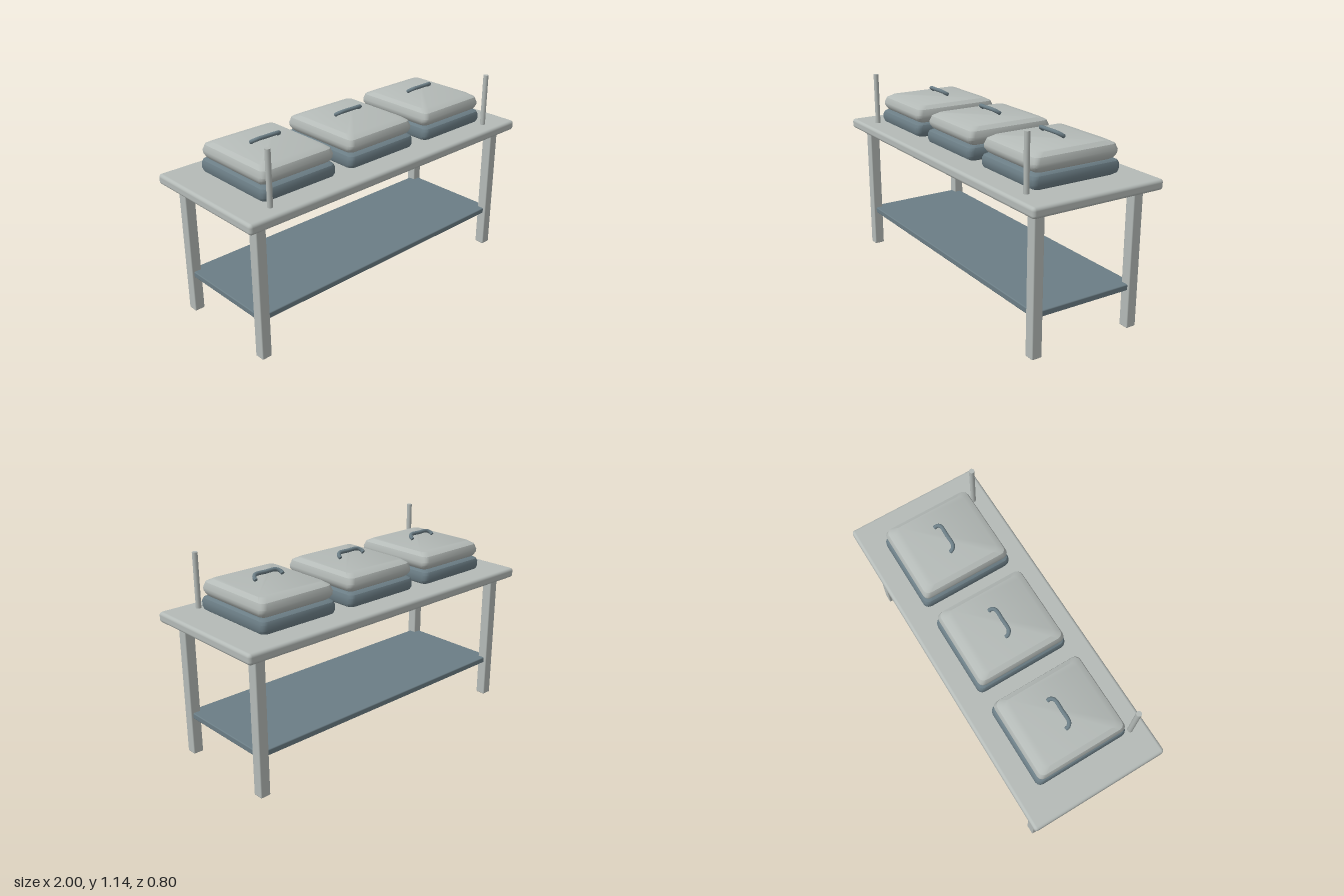
import * as THREE from 'three';
import { toCreasedNormals } from 'three/addons/utils/BufferGeometryUtils.js';
import { RoundedBoxGeometry } from 'three/addons/geometries/RoundedBoxGeometry.js';

const steel = new THREE.MeshStandardMaterial({ color: 0xb4bab7 });
const darkSteel = new THREE.MeshStandardMaterial({ color: 0x6b7d85 });

function add(parent, name, geometry, material, x = 0, y = 0, z = 0) {
  const mesh = new THREE.Mesh(geometry, material);
  mesh.name = name;
  mesh.position.set(x, y, z);
  parent.add(mesh);
  return mesh;
}

// Rounded rectangle lofted through levels of [height, inset]
function loftedBox(halfX, halfZ, radius, levels) {
  const steps = 3;
  const count = 4 * (steps + 1);
  const pos = [];
  const index = [];
  for (const [y, inset] of levels) {
    for (let c = 0; c < 4; c++) {
      const sx = c === 0 || c === 3 ? 1 : -1;
      const sz = c < 2 ? -1 : 1;
      for (let s = 0; s <= steps; s++) {
        const a = (c + s / steps) * Math.PI / 2;
        pos.push(
          sx * (halfX - inset * 0.75 - radius) + radius * Math.cos(a),
          y,
          sz * (halfZ - inset - radius) - radius * Math.sin(a),
        );
      }
    }
  }
  for (let k = 0; k < levels.length - 1; k++) {
    for (let i = 0; i < count; i++) {
      const a = k * count + i;
      const b = k * count + (i + 1) % count;
      index.push(a, b, b + count, a, b + count, a + count);
    }
  }
  // End caps
  const last = (levels.length - 1) * count;
  for (let i = 1; i < count - 1; i++) {
    index.push(0, i + 1, i);
    index.push(last, last + i, last + i + 1);
  }
  const geometry = new THREE.BufferGeometry();
  geometry.setAttribute('position', new THREE.Float32BufferAttribute(pos, 3));
  geometry.setIndex(index);
  return toCreasedNormals(geometry, 0.6);
}

// Food pan with a domed lid and a tilted handle
function createPan(x) {
  const pan = new THREE.Group();
  pan.name = 'servingPan';
  pan.position.x = x;

  add(pan, 'panBase', loftedBox(0.24, 0.273, 0.03, [
    [0.833, 0.025], [0.843, 0.007], [0.86, 0], [0.89, 0], [0.906, 0.007], [0.916, 0.025],
  ]), darkSteel);

  add(pan, 'panLid', loftedBox(0.235, 0.264, 0.03, [
    [0.916, 0.028], [0.925, 0.014], [0.945, 0.002], [0.963, 0], [0.994, 0.012], [1.012, 0.046],
  ]), steel);

  const path = new THREE.CatmullRomCurve3([
    [-0.086, 1.032, -0.02], [-0.086, 1.04, -0.008], [-0.068, 1.051, 0.009], [0, 1.052, 0.011],
    [0.068, 1.051, 0.009], [0.086, 1.04, -0.008], [0.086, 1.032, -0.02],
  ].map((p) => new THREE.Vector3(...p)), false, 'centripetal');
  add(pan, 'lidHandle', new THREE.TubeGeometry(path, 32, 0.011, 10), darkSteel);

  // Close the handle's tube ends
  for (const t of [0, 1]) {
    const end = add(pan, 'handleEnd', new THREE.CircleGeometry(0.011, 10), darkSteel);
    end.position.copy(path.getPointAt(t));
    const direction = path.getTangentAt(t).multiplyScalar(t ? 1 : -1);
    end.quaternion.setFromUnitVectors(new THREE.Vector3(0, 0, 1), direction);
  }
  return pan;
}

export function createModel() {
  const model = new THREE.Group();
  model.name = 'buffetTable';

  add(model, 'tableTop', new RoundedBoxGeometry(2, 0.058, 0.8, 3, 0.018), steel, 0, 0.804, 0);
  add(model, 'lowerShelf', new RoundedBoxGeometry(1.82, 0.034, 0.64, 2, 0.006), darkSteel, 0, 0.234, 0);

  for (const side of [-1, 1]) {
    for (const end of [-1, 1]) {
      add(model, 'leg', new RoundedBoxGeometry(0.06, 0.772, 0.06, 2, 0.006),
        steel, side * 0.893, 0.386, end * 0.307);
    }
    // Upright posts at the front corners
    add(model, 'frontPost', new THREE.CylinderGeometry(0.015, 0.015, 0.31, 16),
      steel, side * 0.81, 0.985, 0.307);
  }

  for (const x of [-0.58, 0, 0.58]) model.add(createPan(x));
  return model;
}
